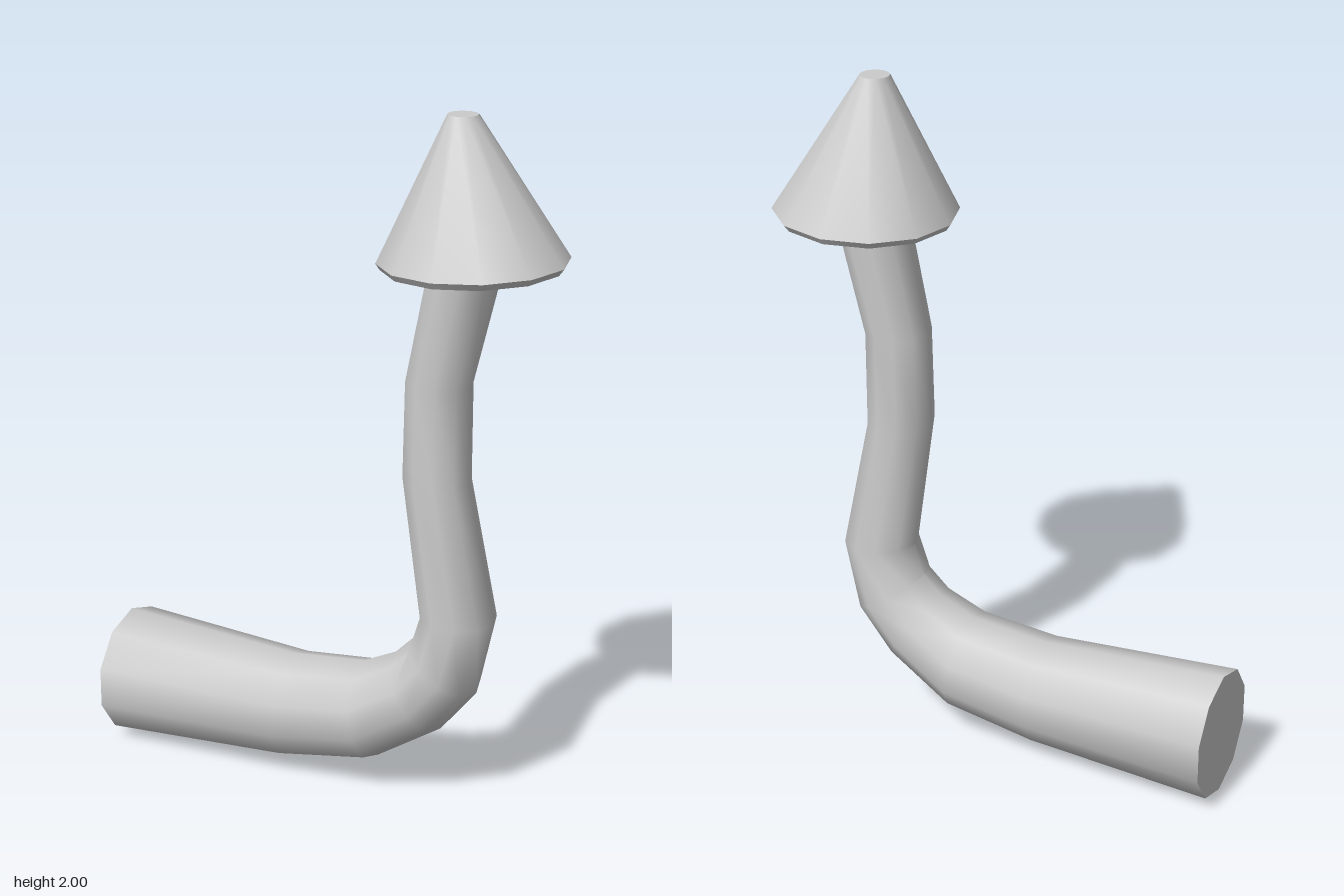
import * as THREE from 'three';
import { toCreasedNormals } from 'three/addons/utils/BufferGeometryUtils.js';

// Closed loft through round rings. Each ring is given by the two ends of its
// diameter in the z = 0 plane: [outerX, outerY, innerX, innerY].
function loft(rings, sides) {
  const pos = [];
  const index = [];
  const centres = [];
  for (const [ox, oy, ix, iy] of rings) {
    const cx = (ox + ix) / 2, cy = (oy + iy) / 2;
    const dx = (ox - ix) / 2, dy = (oy - iy) / 2;
    const r = Math.hypot(dx, dy);
    centres.push([cx, cy, 0]);
    for (let j = 0; j < sides; j++) {
      const t = (j / sides) * Math.PI * 2;
      pos.push(cx + dx * Math.cos(t), cy + dy * Math.cos(t), -r * Math.sin(t));
    }
  }
  const last = rings.length - 1;
  const startCentre = pos.length / 3;
  pos.push(...centres[0], ...centres[last]);
  for (let j = 0; j < sides; j++) {
    const k = (j + 1) % sides;
    for (let i = 0; i < last; i++) {
      const a = i * sides + j, b = i * sides + k;
      index.push(a, b, a + sides, b, b + sides, a + sides);
    }
    // end caps
    index.push(startCentre, k, j);
    index.push(startCentre + 1, last * sides + j, last * sides + k);
  }
  const geometry = new THREE.BufferGeometry();
  geometry.setAttribute('position', new THREE.Float32BufferAttribute(pos, 3));
  geometry.setIndex(index);
  return toCreasedNormals(geometry, 0.75);
}

export function createModel() {
  const group = new THREE.Group();
  const material = new THREE.MeshStandardMaterial({ color: 0xcccccc });
  const add = (name, geometry) => {
    const mesh = new THREE.Mesh(geometry, material);
    mesh.name = name;
    group.add(mesh);
  };

  // bent, tapering ten-sided stem
  add('stem', loft([
    [-0.69, 0, -0.69, 0.38],
    [-0.13, 0.035, -0.13, 0.35],
    [0.15, 0.085, 0.10, 0.375],
    [0.35, 0.215, 0.205, 0.425],
    [0.46, 0.35, 0.26, 0.48],
    [0.51, 0.57, 0.29, 0.575],
    [0.425, 0.97, 0.23, 0.985],
    [0.425, 1.25, 0.235, 1.26],
    [0.505, 1.573, 0.30, 1.585],
  ], 10));

  // leaning twelve-sided conical tip with a bevelled rim
  add('tip', loft([
    [0.672, 1.597, 0.175, 1.583],
    [0.687, 1.617, 0.163, 1.601],
    [0.43, 2.0, 0.345, 2.0],
  ], 12));

  return group;
}
